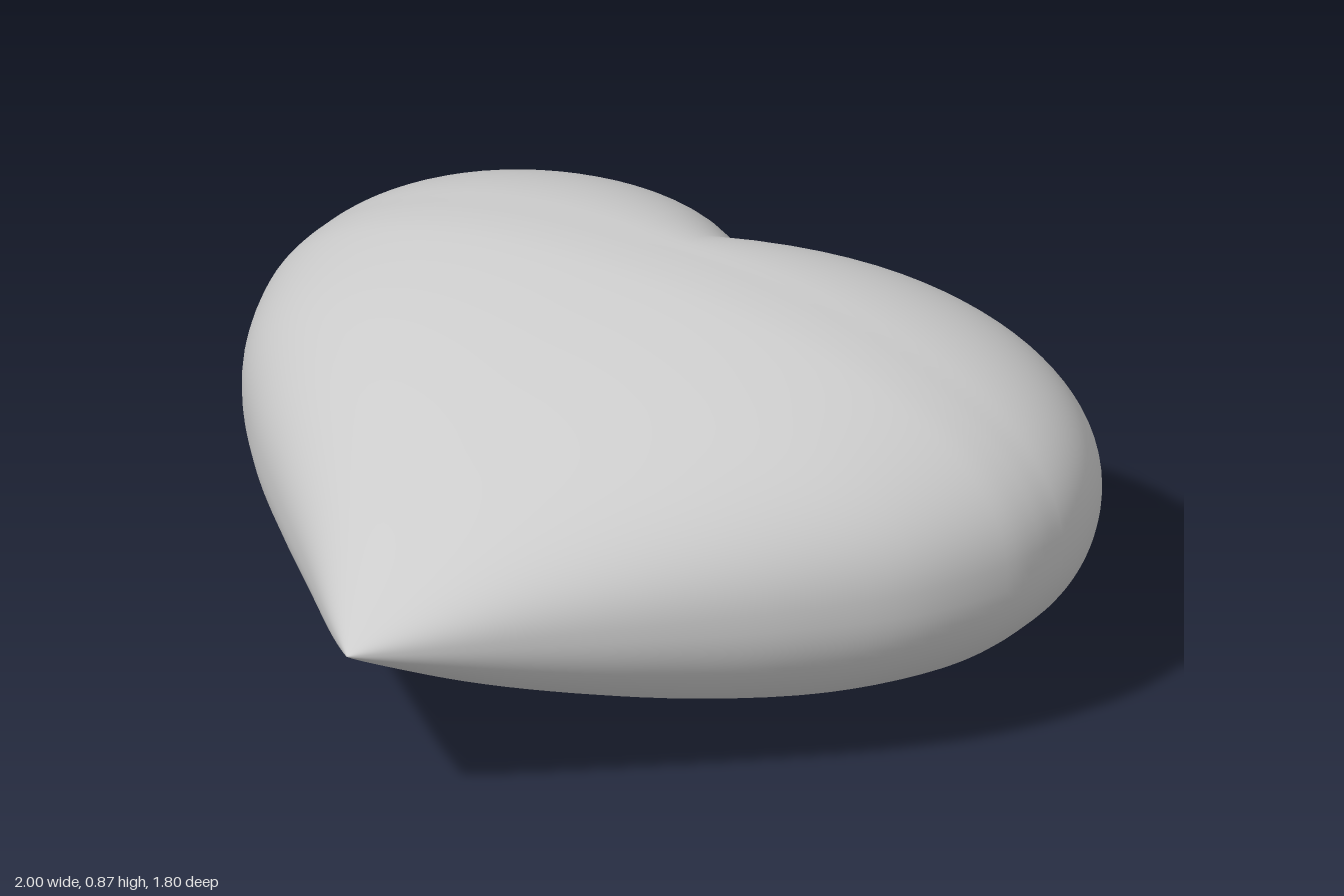
import * as THREE from 'three';
import { mergeVertices } from 'three/addons/utils/BufferGeometryUtils.js';

const RIDGE = -0.37;   // z of the widest cross-section
const MID = 0.435;     // height of the horizontal symmetry plane
const AROUND = 128, FRONT = 44, BACK = 28;

// Front half: z, half-width, half-height from the tip to the widest section
const profile = new THREE.CatmullRomCurve3([
  [0.9, 0, 0], [0.88, 0.025, 0.013], [0.8, 0.115, 0.06], [0.6, 0.32, 0.17], [0.4, 0.53, 0.26],
  [0.2, 0.73, 0.335], [0, 0.89, 0.392], [-0.2, 0.98, 0.43], [-0.29, 0.997, 0.435], [RIDGE, 1, 0.432],
].map((p) => new THREE.Vector3(...p)));

const bend = (v, p) => Math.sign(v) * Math.abs(v) ** (2 / p);

// How far the two rounded lobes reach behind the widest section
function lobeDepth(x) {
  const d = Math.abs(x) - 0.41;
  const r = d / (d > 0 ? 0.59 : 0.524);
  return 0.53 * Math.sqrt(Math.max(0, 1 - r * r));
}

function heartGeometry() {
  const pos = [], index = [];
  for (let i = 0; i <= FRONT + BACK; i++) {
    const s = profile.getPoint(Math.min(1, i / FRONT));
    const t = Math.max(0, (i - FRONT) / BACK) * Math.PI / 2;
    for (let j = 0; j <= AROUND; j++) {
      const a = ((j % AROUND) / AROUND) * Math.PI * 2;
      const x = s.y * bend(Math.cos(a), 2.3);
      const y = s.z * bend(Math.sin(a), 2.3);
      // Behind the ridge each point rolls over to the back edge
      pos.push(x, MID + y * Math.cos(t), s.x - lobeDepth(x) * Math.sin(t));
    }
  }
  const row = AROUND + 1;
  for (let i = 0; i < FRONT + BACK; i++) {
    for (let j = 0; j < AROUND; j++) {
      const a = i * row + j, c = a + row;
      index.push(a, c, a + 1, a + 1, c, c + 1);
    }
  }
  const geo = new THREE.BufferGeometry();
  geo.setAttribute('position', new THREE.Float32BufferAttribute(pos, 3));
  geo.setIndex(index);
  const welded = mergeVertices(geo, 1e-4);
  welded.computeVertexNormals();
  return welded;
}

export function createModel() {
  const group = new THREE.Group();
  group.name = 'puffyHeart';
  const heart = new THREE.Mesh(heartGeometry(), new THREE.MeshStandardMaterial({ color: 0xcccccc }));
  heart.name = 'heartBody';
  group.add(heart);
  return group;
}
